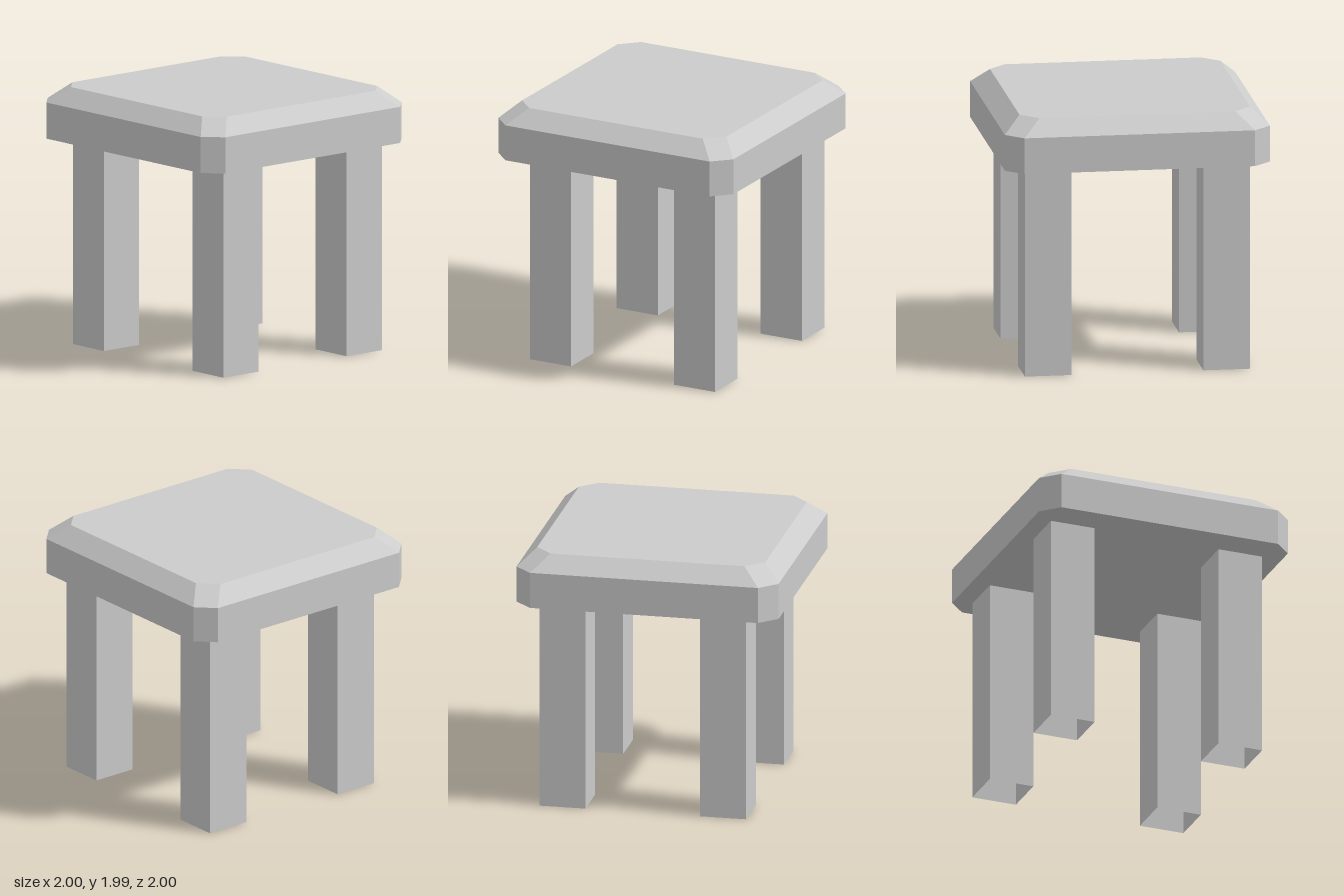
import * as THREE from 'three';

const material = new THREE.MeshStandardMaterial({ color: 0xcccccc, flatShading: true });
const openMaterial = new THREE.MeshStandardMaterial({
  color: 0xcccccc, flatShading: true, side: THREE.DoubleSide,
});

// Square ring with clipped corners: half width r, corners cut at c
function clippedSquare(r, c, y) {
  return [[r, -c], [r, c], [c, r], [-c, r], [-r, c], [-r, -c], [-c, -r], [c, -r]]
    .map(([x, z]) => [x, y, z]);
}

// Closed solid through a stack of rings, bottom to top
function loft(rings) {
  const pos = [];
  const tri = (...corners) => corners.forEach((p) => pos.push(...p));
  const n = rings[0].length;
  const bottom = rings[0];
  const top = rings[rings.length - 1];
  for (let k = 0; k < rings.length - 1; k++) {
    for (let i = 0; i < n; i++) {
      const j = (i + 1) % n;
      const [lo, hi] = [rings[k], rings[k + 1]];
      tri(lo[i], hi[i], hi[j]);
      tri(lo[i], hi[j], lo[j]);
    }
  }
  for (let i = 1; i < n - 1; i++) {
    tri(bottom[0], bottom[i], bottom[i + 1]);
    tri(top[0], top[i + 1], top[i]);
  }
  const geometry = new THREE.BufferGeometry();
  geometry.setAttribute('position', new THREE.Float32BufferAttribute(pos, 3));
  geometry.computeVertexNormals();
  return geometry;
}

export function createModel() {
  const group = new THREE.Group();
  const seatBottom = 1.595;

  // Seat slab with clipped corners and a chamfered upper rim
  const seat = new THREE.Mesh(loft([
    clippedSquare(1, 0.87, seatBottom),
    clippedSquare(1, 0.87, 1.87),
    clippedSquare(0.87, 0.74, 1.99),
  ]), material);
  seat.name = 'seat';
  group.add(seat);

  // Four hollow square legs, open at the ends
  const legWidth = 0.35;
  const legGeometry = new THREE.CylinderGeometry(
    legWidth / Math.SQRT2, legWidth / Math.SQRT2, seatBottom, 4, 1, true, Math.PI / 4);
  for (const [xName, x] of [['Right', -0.68], ['Left', 0.667]]) {
    for (const [zName, z] of [['front', 0.573], ['back', -0.653]]) {
      const leg = new THREE.Mesh(legGeometry, openMaterial);
      leg.position.set(x, seatBottom / 2, z);
      leg.name = `${zName}${xName}Leg`;
      group.add(leg);
    }
  }
  return group;
}
